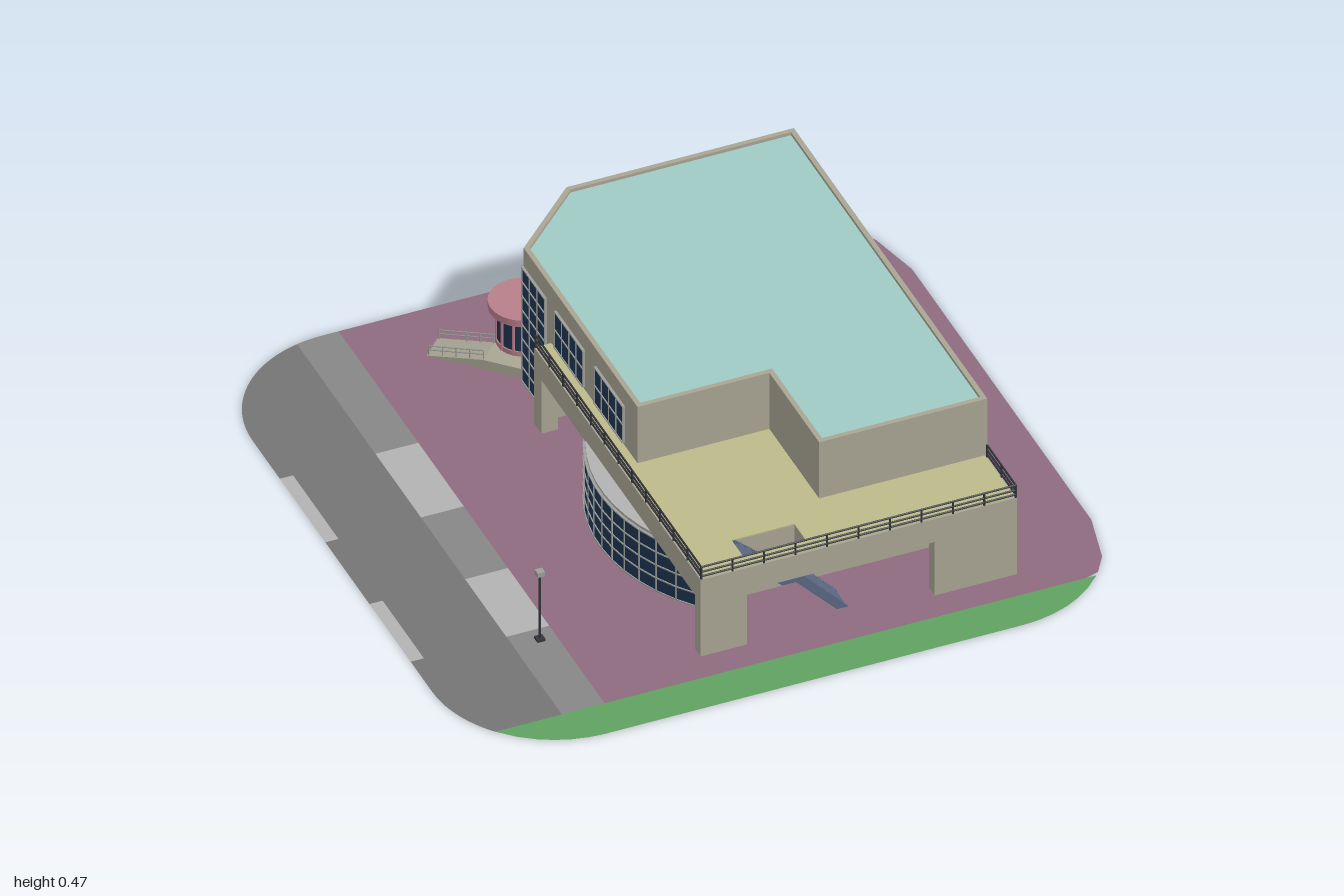
import * as THREE from 'three';

const mat = (color) => new THREE.MeshStandardMaterial({ color, side: THREE.DoubleSide });
const WALL = mat(0xa9a594), GLASS = mat(0x1d3450), BAR = mat(0x9c9f9c), PINK = mat(0xb87f8b), BAND = mat(0x94667a),
  ROOF = mat(0x9fcac5), DECK = mat(0xbcb98a), STEEL = mat(0x5a6680), DARK = mat(0x34363c),
  PAVING = mat(0x8f6b80), ROAD = mat(0x747474), WALK = mat(0x868686), PALE = mat(0xb2b2b2), GRASS = mat(0x5fa160);

function add(parent, name, geometry, material) {
  const m = new THREE.Mesh(geometry, material);
  m.name = name;
  parent.add(m);
  return m;
}

// Box given by its limits on each axis
function box(parent, name, x0, x1, y0, y1, z0, z1, material) {
  const g = new THREE.BoxGeometry(x1 - x0, y1 - y0, z1 - z0);
  g.translate((x0 + x1) / 2, (y0 + y1) / 2, (z0 + z1) / 2);
  return add(parent, name, g, material);
}

// Plan outline of [x, z] points
const plan = (pts) => new THREE.Shape(pts.map(([x, z]) => new THREE.Vector2(x, -z)));
const rect = (x0, x1, z0, z1) => [[x0, z0], [x0, z1], [x1, z1], [x1, z0]];

// Vertical prism over a plan outline, with optional hole
function prism(parent, name, pts, y0, y1, material, hole) {
  const s = plan(pts);
  if (hole) s.holes.push(plan(hole));
  const g = new THREE.ExtrudeGeometry(s, { depth: y1 - y0, bevelEnabled: false });
  g.rotateX(-Math.PI / 2).translate(0, y0, 0);
  return add(parent, name, g, material);
}

function rod(parent, name, a, b, r, material) {
  const A = new THREE.Vector3(...a), B = new THREE.Vector3(...b), d = B.clone().sub(A);
  const m = add(parent, name, new THREE.CylinderGeometry(r, r, d.length(), 6), material);
  m.position.copy(A).add(B).multiplyScalar(0.5);
  m.quaternion.setFromUnitVectors(new THREE.Vector3(0, 1, 0), d.normalize());
}

// Glazed panel with a bar grid between two [x, z] points
function glazing(parent, name, a, b, y0, y1, rows, cols) {
  const g = new THREE.Group();
  g.name = name;
  const dx = b[0] - a[0], dz = b[1] - a[1], L = Math.hypot(dx, dz), h = L / 2;
  g.position.set(a[0] + dx / 2, 0, a[1] + dz / 2);
  g.rotation.y = Math.atan2(-dz, dx);
  box(g, 'glass', -h, h, y0, y1, -0.005, 0.005, GLASS);
  for (let i = 0; i <= rows; i++) {
    const y = y0 + (y1 - y0) * i / rows;
    box(g, 'crossBar', -h, h, y - 0.002, y + 0.002, -0.008, 0.008, BAR);
  }
  for (let i = 0; i <= cols; i++) {
    const x = -h + L * i / cols;
    box(g, 'upright', x - 0.0025, x + 0.0025, y0, y1, -0.007, 0.007, BAR);
  }
  parent.add(g);
}

// Rectangle of ground clipped to the rounded plot
function groundPatch(parent, name, x0, x1, z0, z1, material) {
  const R = 0.37, c = 1 - R, n = 40, near = [], far = [];
  for (let i = 0; i <= n; i++) {
    const x = x0 + (x1 - x0) * i / n, e = Math.max(0, Math.abs(x) - c);
    const lim = c + Math.sqrt(Math.max(0, R * R - e * e));
    near.push([x, Math.min(z1, lim)]);
    far.unshift([x, Math.max(z0, -lim)]);
  }
  const g = new THREE.ShapeGeometry(plan([...near, ...far]));
  add(parent, name, g.rotateX(-Math.PI / 2).translate(0, 0.001, 0), material);
}

function buildGround(p) {
  groundPatch(p, 'paving', -0.58, 1, -1, 0.87, PAVING);
  groundPatch(p, 'lawn', -0.911, 0.911, 0.87, 1, GRASS);
  const zs = [-1, -0.44, -0.12, 0.19, 0.48, 0.87];
  groundPatch(p, 'road', -0.96, -0.71, -1, 0.87, ROAD);
  for (let i = 0; i < 5; i++) {
    groundPatch(p, 'roadEdge', -1, -0.96, zs[i], zs[i + 1], i % 2 ? PALE : ROAD);
    groundPatch(p, 'sidewalk', -0.71, -0.58, zs[i], zs[i + 1], i % 2 ? PALE : WALK);
  }
}

function buildWalls(p) {
  // Ground floor with a bowed west side
  const cx = 0.254, R = 0.554, arc = [];
  for (let i = 0; i <= 14; i++) {
    const z = -0.26 + 0.83 * i / 14;
    arc.push([cx - Math.sqrt(R * R - (z - 0.2) ** 2), z]);
  }
  prism(p, 'groundFloor', [[0.71, 0.57], [0.71, -0.79], [0.02, -0.79], [-0.2, -0.58], [-0.2, -0.39], [-0.05, -0.39], ...arc],
    0.003, 0.192, WALL);
  for (let i = 0; i < 14; i++) glazing(p, 'bowWindow', arc[i], arc[i + 1], 0.005, 0.185, 4, 1);
  prism(p, 'bowCap', arc, 0.186, 0.195, PALE);

  // Upper floor, roof and parapet
  const top = [[-0.2, 0.22], [0.2, 0.22], [0.2, 0.57], [0.71, 0.57], [0.71, -0.79], [0.02, -0.79], [-0.2, -0.58]];
  const inner = [[-0.185, 0.205], [0.215, 0.205], [0.215, 0.555], [0.695, 0.555], [0.695, -0.775], [0.026, -0.775], [-0.185, -0.574]];
  prism(p, 'upperFloor', top, 0.19, 0.455, WALL);
  prism(p, 'parapet', top, 0.455, 0.47, WALL, inner);
  prism(p, 'roof', inner, 0.455, 0.46, ROOF);

  // Striped back wall and corner curtain wall
  box(p, 'upperBand', 0.18, 0.711, 0.24, 0.4, -0.793, -0.785, BAND);
  box(p, 'lowerBand', 0.18, 0.711, 0.003, 0.15, -0.793, -0.785, BAND);
  glazing(p, 'curtainWall', [0.18, -0.79], [0.02, -0.79], 0.01, 0.405, 8, 3);
  glazing(p, 'curtainWall', [0.02, -0.79], [-0.2, -0.58], 0.01, 0.405, 8, 5);
  glazing(p, 'curtainWall', [-0.2, -0.58], [-0.2, -0.42], 0.01, 0.405, 8, 3);
  for (const z of [-0.35, -0.07]) glazing(p, 'terraceWindow', [-0.2, z], [-0.2, z + 0.2], 0.285, 0.41, 2, 4);

  // East windows
  const sideWindow = (z, y) => {
    box(p, 'windowFrame', 0.705, 0.715, y - 0.047, y + 0.047, z - 0.023, z + 0.023, BAR);
    box(p, 'windowPane', 0.705, 0.717, y - 0.039, y + 0.039, z - 0.016, z + 0.016, GLASS);
  };
  for (const z of [0.135, 0.07, -0.467, -0.53, -0.595, -0.66, -0.725]) sideWindow(z, 0.333);
  for (const z of [-0.467, -0.53]) sideWindow(z, 0.12);
}

function buildTerrace(p) {
  const well = rect(-0.1, 0.09, 0.65, 0.73);
  prism(p, 'terraceSlab', rect(-0.25, 0.71, -0.39, 0.78), 0.19, 0.27, WALL, well);
  prism(p, 'terraceDeck', rect(-0.243, 0.703, -0.383, 0.773), 0.27, 0.274, DECK, well);
  // Supporting walls
  box(p, 'frontPier', -0.25, -0.11, 0.003, 0.19, 0.74, 0.78, WALL);
  box(p, 'frontPier', 0.46, 0.71, 0.003, 0.19, 0.74, 0.78, WALL);
  box(p, 'sidePier', 0.67, 0.71, 0.003, 0.19, 0.57, 0.65, WALL);
  box(p, 'westPier', -0.25, -0.2, 0.003, 0.19, -0.39, -0.34, WALL);
  // Railing
  const run = [[-0.247, -0.387], [-0.247, 0.777], [0.707, 0.777], [0.707, 0.575]];
  for (let i = 0; i < 3; i++) {
    const [a, b] = [run[i], run[i + 1]];
    for (const y of [0.28, 0.295, 0.312]) rod(p, 'rail', [a[0], y, a[1]], [b[0], y, b[1]], 0.003, DARK);
    const n = Math.round(Math.hypot(b[0] - a[0], b[1] - a[1]) / 0.1);
    for (let k = 0; k <= n; k++) {
      const x = a[0] + (b[0] - a[0]) * k / n, z = a[1] + (b[1] - a[1]) * k / n;
      rod(p, 'railPost', [x, 0.27, z], [x, 0.312, z], 0.003, DARK);
    }
  }
}

function buildStairs(p) {
  const s = new THREE.Shape([[0.22, 0.003], [0.07, 0.165], [0.03, 0.165], [-0.09, 0.272], [-0.1, 0.272], [-0.1, 0.24],
    [0.02, 0.135], [0.06, 0.135], [0.185, 0.003]].map((q) => new THREE.Vector2(...q)));
  for (const z of [0.65, 0.726]) {
    add(p, 'stringer', new THREE.ExtrudeGeometry(s, { depth: 0.004, bevelEnabled: false }).translate(0, 0, z), STEEL);
  }
  const tread = (x, y, w) => box(p, 'tread', x - w, x + w, y - 0.003, y + 0.003, 0.652, 0.728, STEEL);
  for (let i = 0; i < 7; i++) tread(0.195 - i * 0.02, 0.02 + i * 0.0215, 0.011);
  tread(0.045, 0.152, 0.025);
  for (let i = 0; i < 5; i++) tread(0.008 - i * 0.023, 0.172 + i * 0.021, 0.012);
}

// Corner entrance, turned to face away from the chamfered corner
function buildEntrance(p) {
  const g = new THREE.Group();
  g.name = 'entrance';
  g.position.set(-0.09, 0, -0.685);
  g.rotation.y = -Math.PI * 0.75;
  p.add(g);
  box(g, 'platform', -0.16, 0.14, 0.003, 0.035, -0.01, 0.13, WALL);
  const wedge = new THREE.Shape([[0, 0.003], [0.17, 0.003], [0, 0.035]].map((q) => new THREE.Vector2(...q)));
  const ramp = new THREE.ExtrudeGeometry(wedge, { depth: 0.087, bevelEnabled: false });
  add(g, 'ramp', ramp.rotateY(-Math.PI / 2).translate(0.14, 0, 0.13), WALL);
  for (const x of [0.057, 0.136]) {
    for (const h of [0.017, 0.03]) rod(g, 'rampRail', [x, 0.035 + h, 0.13], [x, 0.005 + h, 0.295], 0.002, BAR);
    for (let i = 0; i <= 4; i++) {
      const z = 0.13 + i * 0.041, y = 0.035 - i * 0.0075;
      rod(g, 'rampPost', [x, y, z], [x, y + 0.03, z], 0.002, BAR);
    }
  }
  const drum = (name, r, y0, y1, m) =>
    add(g, name, new THREE.CylinderGeometry(r, r, y1 - y0, 32), m).position.set(0.011, (y0 + y1) / 2, 0.06);
  drum('vestibule', 0.075, 0.035, 0.155, GLASS);
  drum('vestibuleSill', 0.079, 0.035, 0.05, PINK);
  drum('canopy', 0.1, 0.153, 0.176, PINK);
  for (let i = 0; i <= 6; i++) {
    const a = -Math.PI / 2 + Math.PI * i / 6, x = 0.011 + 0.076 * Math.sin(a), z = 0.06 + 0.076 * Math.cos(a);
    rod(g, 'vestibulePost', [x, 0.035, z], [x, 0.155, z], 0.005, PINK);
  }
}

function buildLamp(p) {
  box(p, 'lampBase', -0.642, -0.618, 0.002, 0.01, 0.518, 0.542, DARK);
  rod(p, 'lampPost', [-0.63, 0.01, 0.53], [-0.63, 0.23, 0.53], 0.004, DARK);
  box(p, 'lampHead', -0.641, -0.619, 0.228, 0.243, 0.519, 0.541, BAR);
}

export function createModel() {
  const model = new THREE.Group();
  const parts = { ground: buildGround, building: buildWalls, terrace: buildTerrace, stairs: buildStairs, entry: buildEntrance, lamp: buildLamp };
  for (const [name, build] of Object.entries(parts)) {
    const g = new THREE.Group();
    g.name = name;
    build(g);
    model.add(g);
  }
  return model;
}
